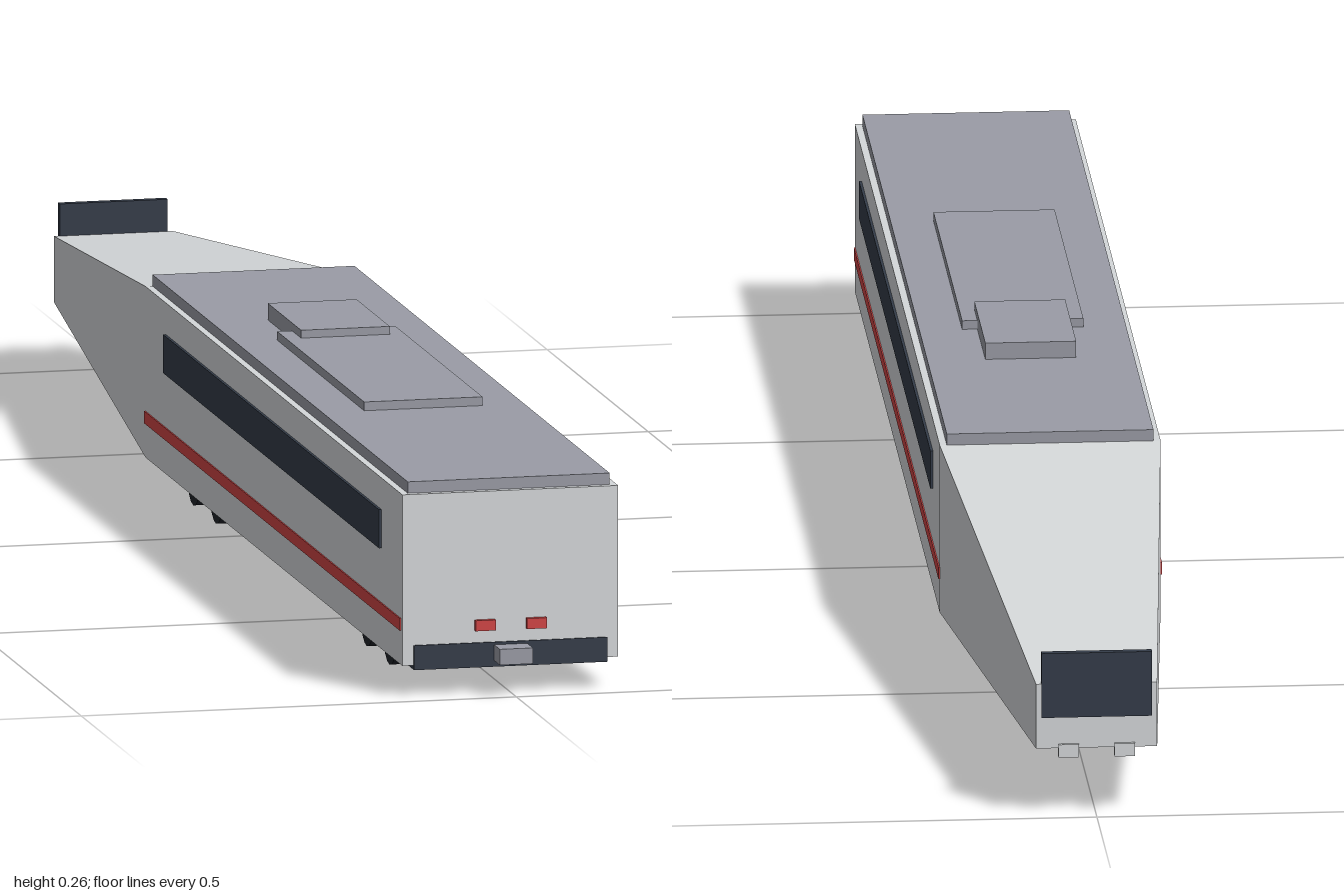
import * as THREE from 'three';

const flat = (name, color) => {
  const m = new THREE.MeshStandardMaterial({ color });
  m.name = name;
  return m;
};

export function createModel() {
  const silver = flat('silver body', 0xd5d8da);
  const grey = flat('roof grey', 0x9a9ca6);
  const dark = flat('dark slate', 0x343c49);
  const black = flat('wheel black', 0x20232a);
  const red = flat('red', 0xd04545);

  const train = new THREE.Group();
  train.name = 'trainCar';

  const add = (name, geometry, material, parent = train) => {
    const mesh = new THREE.Mesh(geometry, material);
    mesh.name = name;
    parent.add(mesh);
    return mesh;
  };
  // Box given by its limits on each axis
  const box = (name, material, [x0, x1], [y0, y1], [z0, z1], parent) => {
    const g = new THREE.BoxGeometry(x1 - x0, y1 - y0, z1 - z0);
    g.translate((x0 + x1) / 2, (y0 + y1) / 2, (z0 + z1) / 2);
    return add(name, g, material, parent);
  };

  // Carriage body and underframe
  box('body', silver, [-0.124, 0.124], [0.035, 0.23], [-0.3, 0.97]);
  box('underframe', dark, [-0.111, 0.111], [0.03, 0.058], [-0.3, 0.972]);

  // Tapered nose: a box whose far end is shrunk
  const nose = new THREE.BoxGeometry(0.248, 0.195, 0.695);
  const p = nose.attributes.position;
  for (let i = 0; i < p.count; i++) {
    const tip = p.getZ(i) < 0;
    p.setXYZ(i,
      Math.sign(p.getX(i)) * (tip ? 0.068 : 0.124),
      p.getY(i) > 0 ? (tip ? 0.155 : 0.23) : (tip ? 0.08 : 0.035),
      tip ? -0.995 : -0.3);
  }
  const sharpNose = nose.toNonIndexed();
  sharpNose.computeVertexNormals();
  add('nose', sharpNose, silver);
  box('windscreen', dark, [-0.062, 0.062], [0.117, 0.192], [-1, -0.991]);

  // Roof and roof equipment
  box('roof', grey, [-0.116, 0.116], [0.23, 0.243], [-0.3, 0.962]);
  box('longRoofUnit', grey, [-0.068, 0.068], [0.243, 0.253], [0.11, 0.54]);
  box('shortRoofUnit', grey, [-0.051, 0.051], [0.243, 0.262], [-0.01, 0.155]);

  // Coupler on the flat end
  box('coupler', grey, [-0.019, 0.019], [0.037, 0.055], [0.97, 1]);

  // Details mirrored on both sides
  for (const s of [-1, 1]) {
    const span = (a, b) => (s > 0 ? [a, b] : [-b, -a]);
    box('windowBand', dark, span(0.1235, 0.127), [0.15, 0.194], [-0.2, 0.867]);
    box('sideStripe', red, span(0.1235, 0.1255), [0.074, 0.088], [-0.301, 0.962]);
    box('tailLight', red, span(0.018, 0.041), [0.072, 0.084], [0.969, 0.976]);
    box('headlight', silver, span(0.02, 0.043), [0.07, 0.085], [-0.999, -0.988]);
  }

  // Bogies, each with a frame and two pairs of wheels
  for (const z of [0.725, -0.133]) {
    const bogie = new THREE.Group();
    bogie.name = 'bogie';
    bogie.position.z = z;
    train.add(bogie);
    box('bogieFrame', dark, [-0.093, 0.093], [0.018, 0.032], [-0.095, 0.095], bogie);
    for (const dz of [-0.056, 0.056]) {
      for (const x of [-0.0875, 0.0875]) {
        const g = new THREE.CylinderGeometry(0.03, 0.03, 0.015, 16).rotateZ(Math.PI / 2);
        add('wheel', g, black, bogie).position.set(x, 0.03, dz);
      }
    }
  }
  return train;
}
